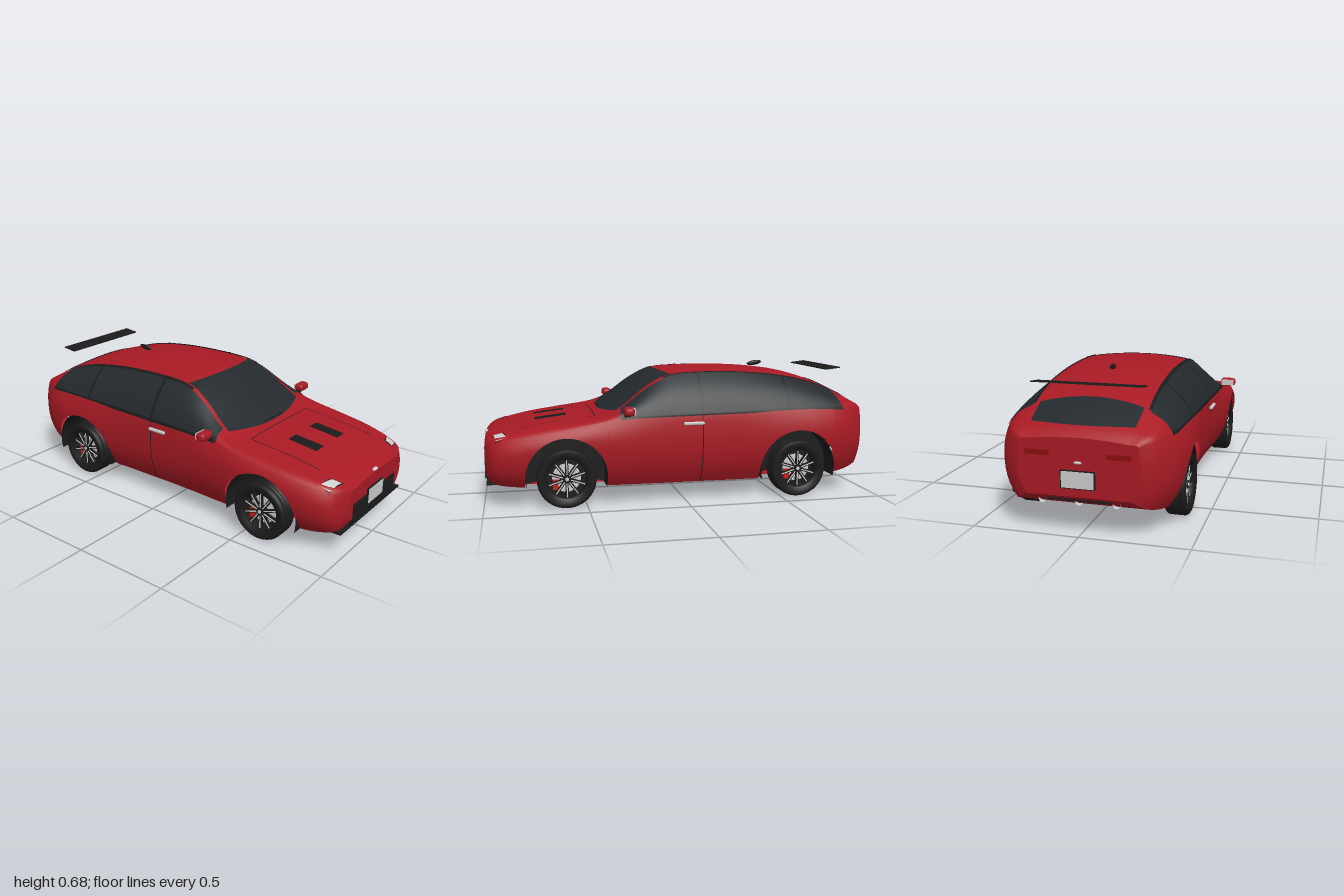
import * as THREE from 'three';
import { RoundedBoxGeometry } from 'three/addons/geometries/RoundedBoxGeometry.js';

const mat = (color) => new THREE.MeshStandardMaterial({ color, side: THREE.DoubleSide });
const RED = mat(0xa81a24), GLASS = mat(0x23292d), BLACK = mat(0x1b1b1b), GREY = mat(0xcccccc), LAMP = mat(0x8a0f10), BRAKE = mat(0xd01c14);
const AXLES = [0.6, -0.59], ARCH_R = 0.2, ARCH_Y = 0.15;

// Cross-section stations: z, max half-width, belt x, belt y, roof edge x, roof edge y, centre top y, sill y
const ST = [
  [-0.99, 0.28, 0.27, 0.41, 0.23, 0.43, 0.445, 0.18],
  [-0.96, 0.34, 0.32, 0.435, 0.255, 0.462, 0.477, 0.145],
  [-0.85, 0.405, 0.375, 0.45, 0.268, 0.515, 0.54, 0.115],
  [-0.72, 0.43, 0.397, 0.455, 0.268, 0.57, 0.595, 0.105],
  [-0.55, 0.43, 0.402, 0.455, 0.268, 0.612, 0.637, 0.098],
  [-0.3, 0.413, 0.4, 0.45, 0.266, 0.638, 0.66, 0.092],
  [0, 0.41, 0.4, 0.445, 0.268, 0.638, 0.659, 0.092],
  [0.1, 0.412, 0.4, 0.443, 0.277, 0.618, 0.647, 0.092],
  [0.2, 0.418, 0.4, 0.441, 0.296, 0.563, 0.597, 0.094],
  [0.3, 0.427, 0.4, 0.438, 0.318, 0.488, 0.517, 0.096],
  [0.35, 0.43, 0.402, 0.432, 0.325, 0.457, 0.48, 0.097],
  [0.42, 0.432, 0.403, 0.418, 0.325, 0.432, 0.441, 0.098],
  [0.6, 0.432, 0.403, 0.388, 0.315, 0.41, 0.421, 0.1],
  [0.76, 0.42, 0.393, 0.362, 0.3, 0.389, 0.4, 0.102],
  [0.9, 0.388, 0.36, 0.335, 0.27, 0.36, 0.371, 0.11],
  [0.965, 0.34, 0.315, 0.315, 0.25, 0.338, 0.348, 0.125],
  [0.99, 0.27, 0.25, 0.295, 0.2, 0.315, 0.325, 0.16],
];

// Smooth interpolation of one station column at z
function col(z, c) {
  let i = 0;
  while (i < ST.length - 2 && z > ST[i + 1][0]) i++;
  const slope = (k) => {
    const a = ST[Math.max(k - 1, 0)], b = ST[Math.min(k + 1, ST.length - 1)];
    return (b[c] - a[c]) / (b[0] - a[0]);
  };
  const h = ST[i + 1][0] - ST[i][0], t = THREE.MathUtils.clamp((z - ST[i][0]) / h, 0, 1), t2 = t * t, t3 = t2 * t;
  return (2 * t3 - 3 * t2 + 1) * ST[i][c] + (t3 - 2 * t2 + t) * h * slope(i)
    + (3 * t2 - 2 * t3) * ST[i + 1][c] + (t3 - t2) * h * slope(i + 1);
}

const archAt = (z) => AXLES.find((a) => Math.abs(z - a) < ARCH_R);

// Half-width of the lower side at height y
function sideX(z, y) {
  const w = col(z, 1), bx = col(z, 2), by = col(z, 3), ys = col(z, 7), ym = Math.min(0.32, by - 0.08);
  if (y > ym) return w - (w - bx) * ((y - ym) / (by - ym)) ** 2;
  return w * (1 - 0.15 * ((ym - y) / (ym - ys)) ** 2.5);
}

// Skin point: v 0-1 lower side, 1-2 window band, 2-3 roof or bonnet, 3-6 mirrored
function skin(z, v) {
  if (v > 3) { const p = skin(z, 6 - v); p.x *= -1; return p; }
  const bx = col(z, 2), by = col(z, 3), rx = col(z, 4), ry = col(z, 5), ty = col(z, 6);
  if (v <= 1) {
    const a = archAt(z);
    const low = a === undefined ? col(z, 7) : ARCH_Y + Math.sqrt(ARCH_R ** 2 - (z - a) ** 2);
    const y = low + (by - low) * v;
    return new THREE.Vector3(sideX(z, y), y, z);
  }
  if (v <= 2) {
    const t = v - 1, b = 0.014 * Math.sin(Math.PI * t);
    return new THREE.Vector3(bx + (rx - bx) * t + b, by + (ry - by) * t + b * 0.5, z);
  }
  const f = 3 - v;
  return new THREE.Vector3(rx * f, ry + (ty - ry) * (1 - f * f), z);
}

// Grid surface, outward side given by d/di x d/dj
function grid(ni, nj, fn) {
  const pos = [], idx = [];
  for (let j = 0; j <= nj; j++) for (let i = 0; i <= ni; i++) pos.push(...fn(i, j).toArray());
  for (let j = 0; j < nj; j++) for (let i = 0; i < ni; i++) {
    const a = j * (ni + 1) + i, d = a + ni + 1;
    idx.push(a, a + 1, d + 1, a, d + 1, d);
  }
  const g = new THREE.BufferGeometry();
  g.setAttribute('position', new THREE.Float32BufferAttribute(pos, 3));
  g.setIndex(idx);
  g.computeVertexNormals();
  return g;
}

// Panel lying just above the skin, between two v values and two z limits
function panel(v0, v1, z0, z1, off = 0.004) {
  return grid(24, 24, (i, j) => {
    const v = v0 + (v1 - v0) * i / 24, a = z0(v), z = a + (z1(v) - a) * j / 24, e = 0.002;
    const p = skin(z, v), m = v > 3 ? -e : e;
    const dv = skin(z, v + m).sub(p).multiplyScalar(Math.sign(m)), dz = skin(z + e, v).sub(p);
    return p.add(dv.cross(dz).normalize().multiplyScalar(off));
  });
}

// Four-cornered patch [x, z] draped on the bonnet
function drape(q, off = 0.004) {
  return grid(8, 8, (i, j) => {
    const s = i / 8, t = j / 8;
    const mix = (k) => (q[0][k] * (1 - s) + q[1][k] * s) * (1 - t) + (q[3][k] * (1 - s) + q[2][k] * s) * t;
    const x = mix(0), z = mix(1), ax = Math.abs(x), rx = col(z, 4), bx = col(z, 2);
    const v = ax < rx ? 3 - ax / rx : 2 - (ax - rx) / (bx - rx);
    return new THREE.Vector3(x, skin(z, v).y + off, z);
  });
}
const rect = (x0, x1, z0, z1) => [[x0, z1], [x1, z1], [x1, z0], [x0, z0]];

function makeWheel() {
  const g = new THREE.Group();
  const add = (geo, m, name, x = 0, y = 0, z = 0) => {
    const o = new THREE.Mesh(geo, m); o.name = name; o.position.set(x, y, z); g.add(o); return o;
  };
  const pts = [[0.1, -0.045], [0.13, -0.053], [0.141, -0.045], [0.145, -0.035]];
  for (const y of [-0.02, 0, 0.02]) pts.push([0.145, y - 0.004], [0.139, y - 0.003], [0.139, y + 0.003], [0.145, y + 0.004]);
  pts.push([0.145, 0.035], [0.141, 0.045], [0.13, 0.053], [0.1, 0.045], [0.096, 0.03], [0.096, -0.045]);
  add(new THREE.LatheGeometry(pts.map((p) => new THREE.Vector2(...p)), 48), BLACK, 'tyre');
  add(new THREE.CylinderGeometry(0.097, 0.097, 0.006, 40), BLACK, 'rimBack', 0, -0.02);
  add(new THREE.CylinderGeometry(0.07, 0.07, 0.01, 32), GREY, 'brakeDisc', 0, 0.0);
  add(new THREE.BoxGeometry(0.05, 0.02, 0.026), BRAKE, 'brakeCaliper', 0.03, 0.01, 0.055);
  add(new THREE.CylinderGeometry(0.02, 0.024, 0.03, 20), BLACK, 'hub', 0, 0.022);
  add(new THREE.CylinderGeometry(0.009, 0.009, 0.004, 16), GREY, 'hubCap', 0, 0.039);
  for (let k = 0; k < 10; k++) {
    const arm = new THREE.Group(); arm.rotation.y = k * Math.PI / 5; g.add(arm);
    const s = new THREE.Mesh(new THREE.BoxGeometry(0.084, 0.014, 0.015), BLACK);
    s.position.set(0.056, 0.024, 0);
    const edge = new THREE.Mesh(new THREE.BoxGeometry(0.07, 0.004, 0.005), GREY);
    edge.position.set(0.056, 0.032, 0);
    s.name = 'spoke'; edge.name = 'spokeEdge';
    arm.add(s, edge);
  }
  g.rotation.z = -Math.PI / 2;
  const holder = new THREE.Group(); holder.add(g); return holder;
}

export function createModel() {
  const car = new THREE.Group();
  const add = (geo, m, name, x = 0, y = 0, z = 0) => {
    const o = new THREE.Mesh(geo, m); o.name = name; o.position.set(x, y, z); car.add(o); return o;
  };
  const box = (w, h, d, m, name, x, y, z) => add(new THREE.BoxGeometry(w, h, d), m, name, x, y, z);

  // Body shell with cut wheel arches, nose and tail faces, floor
  const zs = [];
  for (let i = 0; i <= 120; i++) zs.push(-0.99 + 1.98 * i / 120);
  for (const a of AXLES) {
    for (let i = 0; i <= 32; i++) zs.push(a + (ARCH_R - 1e-5) * Math.cos(Math.PI * i / 32));
    zs.push(a - ARCH_R - 1e-5, a + ARCH_R + 1e-5);
  }
  zs.sort((a, b) => a - b);
  add(grid(60, zs.length - 1, (i, j) => skin(zs[j], i / 10)), RED, 'bodyShell');
  for (const z of [-0.99, 0.99]) {
    const ring = Array.from({ length: 61 }, (_, i) => { const p = skin(z, i / 10); return new THREE.Vector2(p.x, p.y); });
    add(new THREE.ShapeGeometry(new THREE.Shape(ring)), RED, z > 0 ? 'noseFace' : 'tailFace', 0, 0, z);
  }
  add(grid(2, zs.length - 1, (i, j) => {
    const z = zs[j], y = col(z, 7);
    return new THREE.Vector3((i - 1) * (archAt(z) === undefined ? sideX(z, y) : 0.28), y, z);
  }), RED, 'floor');

  // Glass
  add(panel(2.05, 3.95, (v) => 0.1 - 0.05 * (3 - v) ** 2, (v) => 0.41 - 0.07 * (3 - v) ** 2), GLASS, 'windscreen');
  add(panel(2.1, 3.9, (v) => -0.945 + 0.03 * (3 - v) ** 2, (v) => -0.77 - 0.03 * (3 - v) ** 2), GLASS, 'rearWindow');
  for (const s of [1, -1]) {
    const side = (a, b) => (s > 0 ? [a, b] : [6 - b, 6 - a]);
    const t = (v) => (s > 0 ? v : 6 - v) - 1;
    add(panel(...side(1.04, 1.97), (v) => -0.84 + 0.03 * t(v), (v) => 0.34 - 0.02 * t(v)), GLASS, 'sideWindow');
    // Door pillars and seams
    for (const z of [-0.08, -0.535]) add(panel(...side(1.0, 2.0), () => z - 0.007, () => z + 0.007, 0.007), BLACK, 'doorPillar');
    add(panel(...side(0.02, 1), () => -0.082, () => -0.078, 0.002), BLACK, 'doorSeam');
    add(panel(...side(1.96, 2.02), () => -0.8, () => 0.1, 0.005), BLACK, 'roofTrim');
    add(panel(...side(0.98, 1.04), () => -0.84, () => 0.33, 0.004), BLACK, 'beltTrim');
    add(new RoundedBoxGeometry(0.016, 0.016, 0.105, 2, 0.006), GREY, 'doorHandle', s * 0.413, 0.402, -0.033);
    // Door mirrors
    add(new RoundedBoxGeometry(0.082, 0.042, 0.052, 4, 0.018), RED, 'mirrorHousing', s * 0.444, 0.475, 0.3);
    box(0.066, 0.03, 0.006, GREY, 'mirrorGlass', s * 0.444, 0.475, 0.273);
    box(0.04, 0.016, 0.03, BLACK, 'mirrorArm', s * 0.403, 0.452, 0.3).rotation.z = s * 0.6;
    // Bonnet vents, seams and headlights
    add(drape(rect(s * 0.1 - 0.035, s * 0.1 + 0.035, 0.58, 0.74)), BLACK, 'bonnetVent');
    add(drape(rect(s * 0.257 - 0.002, s * 0.257 + 0.002, 0.445, 0.83), 0.002), BLACK, 'bonnetSeam');
    add(drape([[s * 0.262, 0.948], [s * 0.34, 0.932], [s * 0.352, 0.88], [s * 0.275, 0.905]], 0.005), GREY, 'headlight');
    add(drape([[s * 0.255, 0.953], [s * 0.346, 0.936], [s * 0.357, 0.875], [s * 0.27, 0.9]], 0.003), BLACK, 'headlightFrame');
    add(drape(rect(s * 0.04 - 0.042, s * 0.04 + 0.042, 0.402, 0.41), 0.012), BLACK, 'wiper');
    box(0.11, 0.022, 0.02, LAMP, 'tailLight', s * 0.185, 0.372, -0.985);
    // Wheels and arch liners
    AXLES.forEach((z, k) => {
      const w = makeWheel();
      w.name = k ? 'rearWheel' : 'frontWheel';
      w.position.set(s * 0.364, 0.146, z);
      if (s < 0) w.rotation.y = Math.PI;
      car.add(w);
      const len = 0.128;
      const liner = new THREE.CylinderGeometry(ARCH_R, ARCH_R, len, 40, 1, true, -0.25, Math.PI + 0.5);
      liner.rotateY(Math.PI / 2).rotateX(Math.PI / 2).rotateY(Math.PI / 2);
      // Keep the open part of the arc at the bottom
      liner.computeBoundingBox();
      if (liner.boundingBox.max.y < 0.19) liner.rotateX(Math.PI);
      add(liner, BLACK, 'archLiner', s * (0.275 + len / 2), ARCH_Y, z);
      const wall = new THREE.CircleGeometry(ARCH_R, 40, -0.25, Math.PI + 0.5).rotateY(Math.PI / 2);
      add(wall, BLACK, 'archWall', s * 0.276, ARCH_Y, z);
    });
  }
  add(drape(rect(-0.257, 0.257, 0.443, 0.447), 0.002), BLACK, 'bonnetRearSeam');

  // Nose: grille, splitter, plates and plain badges
  box(0.43, 0.108, 0.03, BLACK, 'grille', 0, 0.18, 0.978);
  box(0.62, 0.008, 0.07, BLACK, 'splitter', 0, 0.117, 0.95);
  for (const [s, y] of [[1, 0.22], [-1, 0.26]]) {
    box(0.158, 0.082, 0.01, BLACK, 'plateFrame', 0, y, s * 0.993);
    box(0.148, 0.074, 0.004, GREY, 'plate', 0, y, s * 0.998);
    add(new THREE.SphereGeometry(1, 24, 12), GREY, 'badge', 0, y > 0.25 ? 0.335 : 0.334, s * 0.985).scale.set(0.022, 0.008, 0.01);
  }

  // Tail: bumper slats, exhausts, under-floor fins
  for (const y of [0.19, 0.165]) box(0.3, 0.007, 0.02, BLACK, 'bumperSlat', 0, y, -0.98);
  for (const x of [-0.17, 0, 0.17]) {
    const tip = add(new THREE.CylinderGeometry(0.018, 0.01, 0.07, 20, 1, true), GREY, 'exhaust', x, 0.158, -0.945);
    tip.rotation.x = -Math.PI / 2;
  }
  for (const x of [-0.165, -0.055, 0.055, 0.165]) box(0.008, 0.024, 0.12, BLACK, 'floorFin', x, 0.104, -0.72);

  // Roof wing and aerial
  box(0.514, 0.005, 0.08, BLACK, 'rearWing', 0, 0.65, -0.833).rotation.x = 0.12;
  const fin = add(new THREE.SphereGeometry(1, 20, 12), BLACK, 'aerial', 0, 0.668, -0.475);
  fin.scale.set(0.01, 0.013, 0.042);
  fin.rotation.x = 0.15;
  return car;
}
